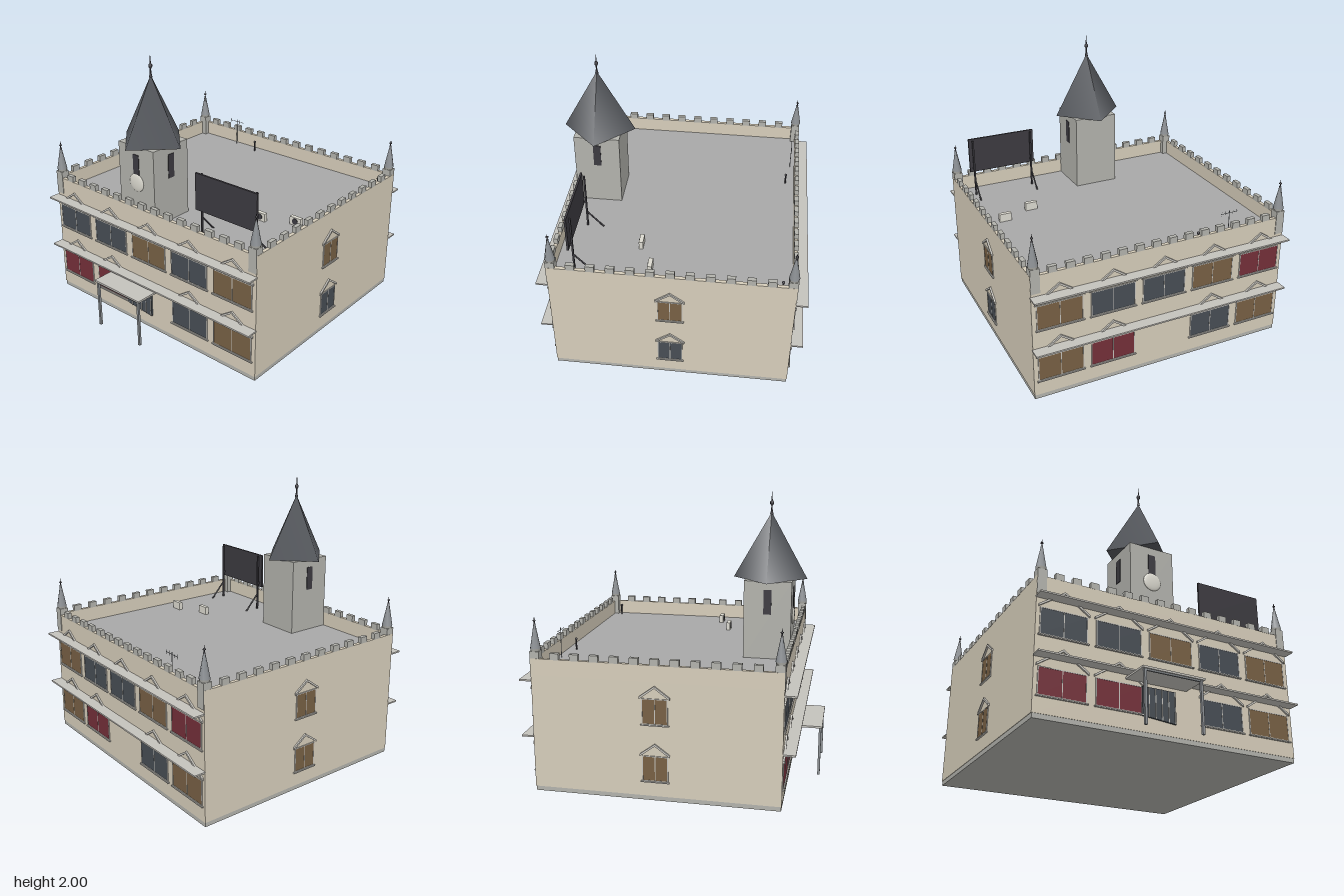
import * as THREE from 'three';

const mat = (color) => new THREE.MeshStandardMaterial({ color });
const M = {
  wall: mat(0xd6cdba), stone: mat(0xb2b2ac), roof: mat(0xa8a8a8), trim: mat(0xc4c2bc),
  slate: mat(0x55585d), dark: mat(0x3c3a40), metal: mat(0x8c9094), clock: mat(0xdcdad0),
  blue: mat(0x474d54), brown: mat(0x776044), red: mat(0x742f39),
};
const X = 0.96, ZF = 0.77, ZB = -0.915, ZC = (ZF + ZB) / 2, DEPTH = ZF - ZB;
const ROOF = 0.83, WALL = 0.94;

function add(parent, name, geo, material, x = 0, y = 0, z = 0) {
  const m = new THREE.Mesh(geo, material);
  m.name = name;
  m.position.set(x, y, z);
  parent.add(m);
  return m;
}
const box = (p, name, material, w, h, d, x, y, z) =>
  add(p, name, new THREE.BoxGeometry(w, h, d), material, x, y, z);

// Round bar between two points
function bar(p, name, material, a, b, r) {
  const v0 = new THREE.Vector3(...a), v1 = new THREE.Vector3(...b);
  const d = v1.clone().sub(v0);
  const m = add(p, name, new THREE.CylinderGeometry(r, r, d.length(), 8), material);
  m.position.copy(v0).addScaledVector(d, 0.5);
  m.quaternion.setFromUnitVectors(new THREE.Vector3(0, 1, 0), d.normalize());
  return m;
}

// Gable-shaped hood over a window, as a chevron
function hood(half, rise) {
  const t = 0.016;
  const s = new THREE.Shape();
  s.moveTo(-half, 0).lineTo(0, rise).lineTo(half, 0);
  s.lineTo(half, -t).lineTo(0, rise - t).lineTo(-half, -t).closePath();
  return new THREE.ExtrudeGeometry(s, { depth: 0.012, bevelEnabled: false });
}

// Window on the plane z = 0 facing +z, origin at the centre of its bottom edge
function makeWindow(w, h, glass, panes, hoodHalf, hoodRise, hoodGap) {
  const g = new THREE.Group();
  g.name = 'window';
  box(g, 'glass', glass, w, h, 0.008, 0, h / 2, 0);
  for (const s of [-1, 1]) {
    box(g, 'frameSide', M.trim, 0.006, h, 0.012, s * w / 2, h / 2, 0);
    box(g, 'frameRail', M.trim, w + 0.006, 0.006, 0.012, 0, h / 2 + s * h / 2, 0);
  }
  for (let i = 1; i < panes; i++) box(g, 'mullion', M.trim, 0.005, h, 0.011, w * (i / panes - 0.5), h / 2, 0);
  box(g, 'sill', M.trim, w + 0.025, 0.008, 0.026, 0, -0.007, 0);
  add(g, 'hood', hood(hoodHalf, hoodRise), M.trim, 0, h + hoodGap, 0);
  return g;
}

// Ball-and-spike finial of unit height
function finial(p, x, y, z, h, r) {
  const pts = [[r, 0], [r * 0.45, 0.2], [r * 0.4, 0.36], [r * 1.1, 0.44], [r * 1.1, 0.52],
    [r * 0.35, 0.6], [r * 0.3, 0.75], [0, 1]].map(([a, b]) => new THREE.Vector2(a, b * h));
  add(p, 'finial', new THREE.LatheGeometry(pts, 10), M.dark, x, y, z);
}

export function createModel() {
  const root = new THREE.Group();
  root.name = 'castleBuilding';

  // Body, plinth, roof deck and parapet
  box(root, 'plinth', M.stone, 2 * X - 0.006, 0.032, DEPTH - 0.006, 0, 0.016, ZC);
  box(root, 'walls', M.wall, 2 * X, ROOF - 0.034, DEPTH, 0, (ROOF + 0.03) / 2, ZC);
  box(root, 'roofDeck', M.roof, 2 * X - 0.04, 0.01, DEPTH - 0.04, 0, ROOF - 0.003, ZC);
  const pt = 0.026, ph = WALL - ROOF + 0.004, py = WALL - ph / 2;
  for (const z of [ZF - pt / 2, ZB + pt / 2]) box(root, 'parapet', M.wall, 2 * X, ph, pt, 0, py, z);
  for (const s of [-1, 1]) box(root, 'parapet', M.wall, pt, ph, DEPTH - 2 * pt, s * (X - pt / 2), py, ZC);

  // Battlements
  for (let i = 1; i < 15; i++)
    for (const z of [ZF - 0.014, ZB + 0.014]) box(root, 'merlon', M.stone, 0.06, 0.045, 0.03, -0.93 + 0.124 * i, 0.9595, z);
  for (let i = 1; i < 12; i++)
    for (const s of [-1, 1]) box(root, 'merlon', M.stone, 0.03, 0.045, 0.06, s * (X - 0.014), 0.9595, ZB + 0.03 + (DEPTH - 0.06) / 12 * i);

  // Corner pinnacles
  for (const x of [-0.927, 0.927]) for (const z of [0.742, -0.887]) {
    box(root, 'cornerPost', M.stone, 0.064, 0.175, 0.064, x, 0.9, z);
    add(root, 'pinnacleFoot', new THREE.CylinderGeometry(0.037, 0.032, 0.02, 8), M.stone, x, 0.995, z);
    add(root, 'pinnacle', new THREE.CylinderGeometry(0.006, 0.037, 0.165, 8), M.metal, x, 1.0875, z);
    finial(root, x, 1.165, z, 0.055, 0.009);
  }

  // Front and back: windows and long ledges
  const cols = [-0.77, -0.385, 0, 0.383, 0.765];
  const { blue: B, brown: N, red: R } = M;
  const faces = [
    { z: ZF, turn: 0, upper: [B, B, N, B, N], lower: [R, R, null, B, N] },
    { z: ZB, turn: Math.PI, upper: [R, N, B, B, N], lower: [N, B, null, R, N] },
  ];
  for (const f of faces) {
    const dir = Math.sign(f.z);
    [[f.upper, 0.54], [f.lower, 0.147]].forEach(([row, y]) => {
      row.forEach((glass, i) => {
        if (!glass) return;
        const w = makeWindow(0.32, 0.178, glass, 2, 0.175, 0.118, 0.02);
        w.position.set(cols[i], y, f.z);
        w.rotation.y = f.turn;
        root.add(w);
      });
    });
    for (const y of [0.787, 0.393]) box(root, 'ledge', M.trim, 1.932, 0.011, 0.083, 0, y, f.z + dir * 0.0415);
  }

  // Side windows
  for (const s of [-1, 1]) [[N, 0.54], [s > 0 ? B : N, 0.142]].forEach(([glass, y]) => {
    const w = makeWindow(0.17, 0.172, glass, 2, 0.102, 0.075, 0.016);
    w.position.set(s * X, y, -0.07);
    w.rotation.y = s * Math.PI / 2;
    root.add(w);
  });

  // Entrance panel with bars, and the canopy on two posts
  const door = new THREE.Shape();
  door.moveTo(-0.225, 0.135).lineTo(0.02, 0.113).lineTo(0.02, 0.33).lineTo(-0.225, 0.33).closePath();
  add(root, 'entrance', new THREE.ExtrudeGeometry(door, { depth: 0.012, bevelEnabled: false }), M.blue, 0, 0, ZF);
  for (let i = 1; i < 6; i++) {
    const x = -0.225 + 0.0475 * i, low = 0.135 - 0.0043 * i;
    box(root, 'entranceBar', M.trim, 0.005, 0.33 - low, 0.006, x, (0.33 + low) / 2, ZF + 0.013);
  }
  box(root, 'canopy', M.trim, 0.45, 0.014, 0.22, -0.115, 0.364, 0.88);
  box(root, 'canopyBeam', M.metal, 0.41, 0.012, 0.012, -0.115, 0.352, 0.975);
  for (const x of [-0.317, 0.088]) box(root, 'canopyPost', M.metal, 0.017, 0.357, 0.017, x, 0.1785, 0.975);

  // Clock tower with a four-sided roof set on the diagonal
  const tx = -0.115, tz = 0.577, th = 0.167;
  box(root, 'tower', M.stone, 2 * th, 1.387 - ROOF, 2 * th, tx, (1.387 + ROOF) / 2, tz);
  add(root, 'towerRoof', new THREE.ConeGeometry(0.262, 0.465, 4), M.slate, tx, 1.6175, tz);
  finial(root, tx, 1.835, tz, 0.165, 0.012);
  box(root, 'towerSlit', M.dark, 0.055, 0.165, 0.008, tx, 1.245, tz + th);
  for (const s of [-1, 1]) box(root, 'towerSlit', M.dark, 0.008, 0.175, 0.055, tx + s * th, 1.24, tz);
  add(root, 'clock', new THREE.SphereGeometry(0.066, 32, 16), M.clock, tx, 1.12, tz + th).scale.z = 0.2;

  // Billboard on braced legs
  box(root, 'billboard', M.dark, 0.52, 0.268, 0.014, 0.593, 1.152, 0.634);
  for (const x of [0.362, 0.824]) {
    box(root, 'billboardLeg', M.dark, 0.012, 0.45, 0.012, x, 1.053, 0.608);
    box(root, 'billboardBracket', M.dark, 0.012, 0.012, 0.03, x, 1.05, 0.618);
    bar(root, 'billboardBrace', M.dark, [x, ROOF, 0.49], [x, 0.96, 0.608], 0.006);
  }

  // Rooftop air units
  for (const [x, z] of [[0.77, 0.087], [0.533, 0.182]]) {
    box(root, 'airUnit', M.clock, 0.09, 0.06, 0.03, x, ROOF + 0.032, z);
    add(root, 'airFan', new THREE.CylinderGeometry(0.023, 0.023, 0.006, 20), M.dark, x, ROOF + 0.032, z + 0.015).rotation.x = Math.PI / 2;
  }

  // Vent pipes and aerial
  for (const x of [-0.312, 0.88]) {
    bar(root, 'ventPipe', M.dark, [x, ROOF, -0.822], [x, 0.91, -0.822], 0.006);
    add(root, 'ventCap', new THREE.SphereGeometry(0.01, 12, 8), M.dark, x, 0.912, -0.822);
  }
  bar(root, 'aerialMast', M.metal, [-0.535, ROOF, -0.856], [-0.535, 1.05, -0.856], 0.0025);
  bar(root, 'aerialBoom', M.metal, [-0.6, 1.034, -0.856], [-0.467, 1.034, -0.856], 0.002);
  for (let i = 0; i < 5; i++) bar(root, 'aerialRod', M.metal, [-0.595 + 0.03 * i, 1.018, -0.856], [-0.595 + 0.03 * i, 1.05, -0.856], 0.001);

  return root;
}
